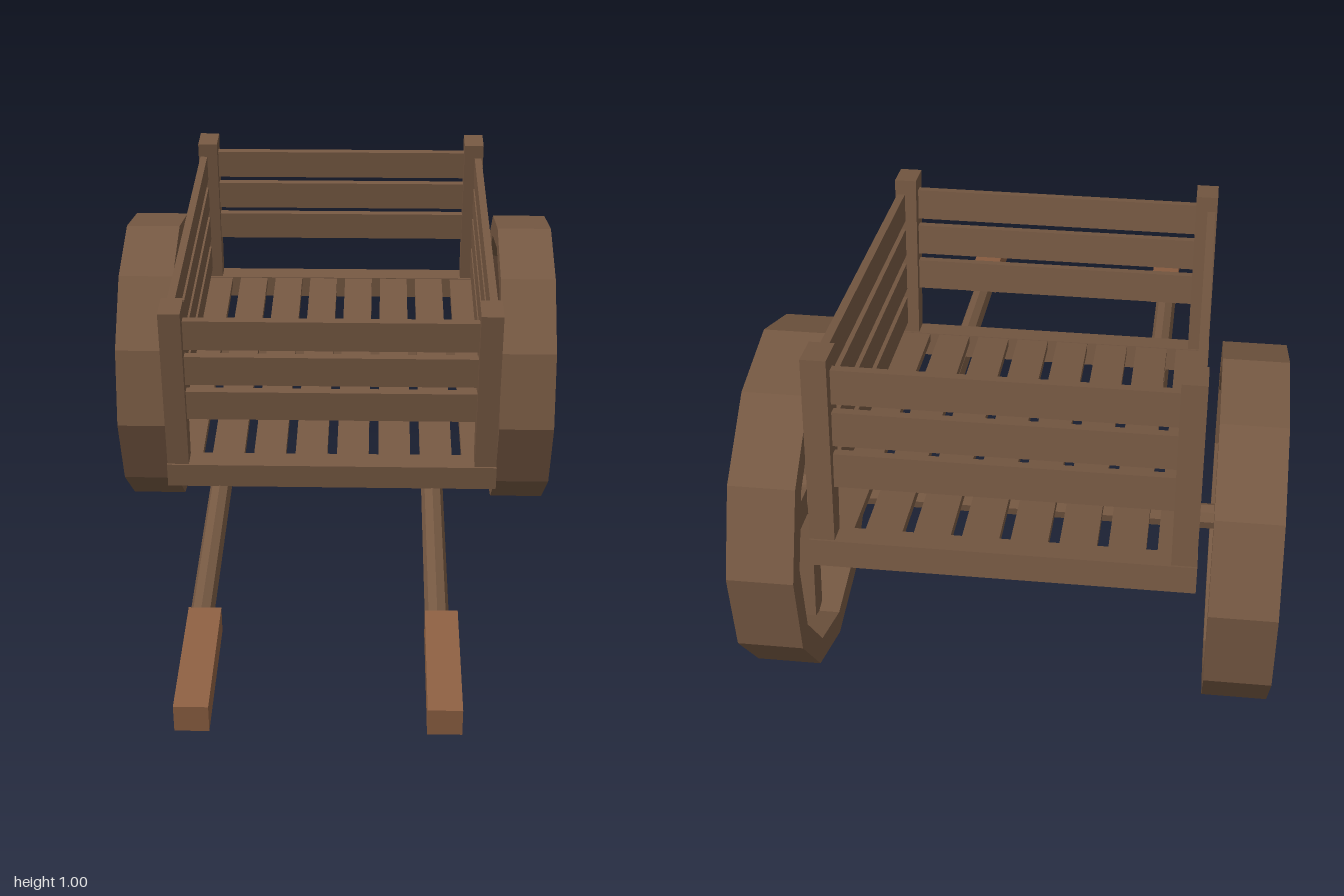
import * as THREE from 'three';

const wood = new THREE.MeshStandardMaterial({ name: 'brown wood', color: 0x755842, flatShading: true });
const gripWood = new THREE.MeshStandardMaterial({ name: 'warm grip wood', color: 0x8c5f42, flatShading: true });

function add(parent, name, geometry, x, y, z, material = wood) {
  const mesh = new THREE.Mesh(geometry, material);
  mesh.name = name;
  mesh.position.set(x, y, z);
  parent.add(mesh);
  return mesh;
}

// Box given by its limits on each axis
function box(parent, name, [x0, x1], [y0, y1], [z0, z1], material) {
  return add(parent, name, new THREE.BoxGeometry(x1 - x0, y1 - y0, z1 - z0),
    (x0 + x1) / 2, (y0 + y1) / 2, (z0 + z1) / 2, material);
}

// Corner post, deeper at the top than at the foot
function postGeometry() {
  const g = new THREE.BoxGeometry(0.055, 0.507, 0.045);
  const p = g.attributes.position;
  for (let i = 0; i < p.count; i++) if (p.getY(i) > 0) p.setZ(i, p.getZ(i) * 1.93);
  g.computeVertexNormals();
  return g;
}

function polygon(PathType, radius, sides) {
  const path = new PathType();
  for (let i = 0; i < sides; i++) {
    const a = i / sides * Math.PI * 2;
    path[i ? 'lineTo' : 'moveTo'](radius * Math.cos(a), radius * Math.sin(a));
  }
  path.closePath();
  return path;
}

// Twelve-sided rim, crossed spokes and hub
function createWheel() {
  const wheel = new THREE.Group();
  const ring = polygon(THREE.Shape, 0.412, 12);
  ring.holes.push(polygon(THREE.Path, 0.353, 12));
  const rim = new THREE.ExtrudeGeometry(ring, { depth: 0.15, bevelEnabled: false });
  rim.translate(0, 0, -0.075).rotateY(Math.PI / 2);
  add(wheel, 'rim', rim, 0, 0, 0);
  box(wheel, 'uprightSpoke', [-0.025, 0.025], [-0.36, 0.36], [-0.033, 0.033]);
  box(wheel, 'levelSpoke', [-0.024, 0.024], [-0.033, 0.033], [-0.36, 0.36]);
  add(wheel, 'hub', new THREE.CylinderGeometry(0.067, 0.067, 0.09, 10).rotateZ(Math.PI / 2), 0, 0, 0);
  return wheel;
}

export function createModel() {
  const model = new THREE.Group();
  model.name = 'handcart';

  // The whole cart tips forward about its axle
  const cart = new THREE.Group();
  cart.name = 'tiltedCart';
  cart.position.set(0, 0.407, -0.592);
  cart.rotation.x = THREE.MathUtils.degToRad(10);
  model.add(cart);

  const frontZ = 0.72, backZ = -0.342;

  // Floor slats
  for (let i = 0; i < 8; i++) {
    const x = (i - 3.5) * 0.107;
    box(cart, 'floorSlat', [x - 0.041, x + 0.041], [0.07, 0.092], [backZ, frontZ]);
  }

  // Corner posts, end beams and end boards
  const post = postGeometry();
  for (const [end, z] of [['front', frontZ], ['back', backZ]]) {
    for (const s of [-1, 1]) add(cart, end + 'Post', post, s * 0.3925, 0.283, z);
    box(cart, end + 'Beam', [-0.421, 0.421], [0.03, 0.094], [z - 0.03, z + 0.03]);
    for (let i = 0; i < 3; i++) {
      const y = 0.22 + i * 0.1;
      box(cart, end + 'Board', [-0.38, 0.38], [y, y + 0.08], [z - 0.011, z + 0.011]);
    }
  }

  // Side rails
  for (const s of [-1, 1]) {
    for (let i = 0; i < 4; i++) {
      const y = 0.122 + i * 0.1;
      box(cart, 'sideRail', [s * 0.405 - 0.01, s * 0.405 + 0.01], [y, y + 0.075], [backZ, frontZ]);
    }
  }

  // Axle and wheels
  add(cart, 'axle', new THREE.CylinderGeometry(0.03, 0.03, 1.04, 8).rotateZ(Math.PI / 2), 0, 0, 0);
  for (const [name, x] of [['leftWheel', 0.525], ['rightWheel', -0.525]]) {
    const wheel = createWheel();
    wheel.name = name;
    wheel.position.x = x;
    cart.add(wheel);
  }

  // Pull shafts with square grips
  for (const x of [0.268, -0.279]) {
    const rod = new THREE.CylinderGeometry(0.028, 0.028, 0.8, 8).rotateX(Math.PI / 2);
    add(cart, 'pullShaft', rod, x - 0.009, 0.004, 0.876);
    box(cart, 'grip', [x - 0.038, x + 0.038], [-0.032, 0.035], [1.263, 1.61], gripWood);
  }

  return model;
}
